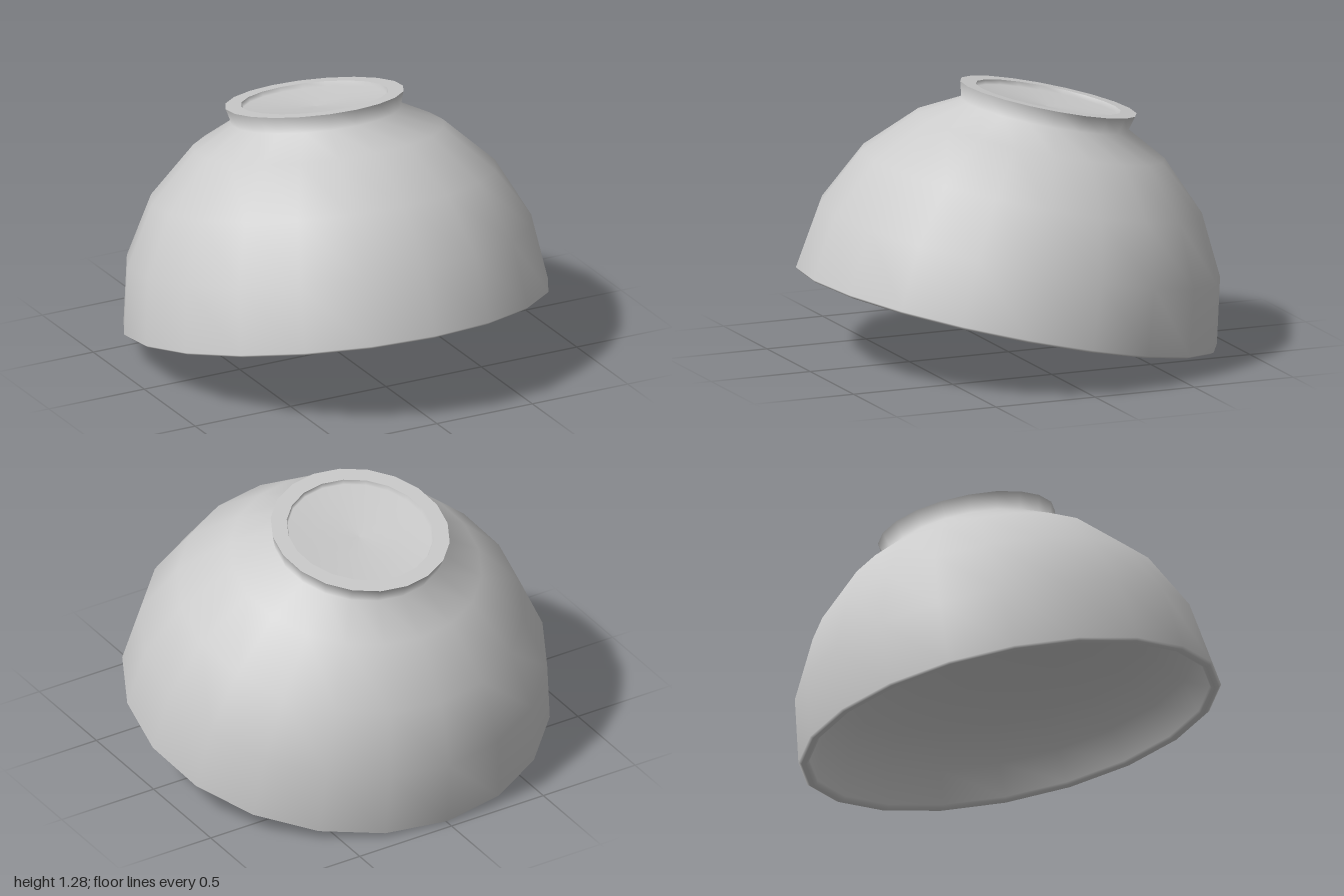
import * as THREE from 'three';

const SIDES = 20;

export function createModel() {
  const model = new THREE.Group();
  const bowl = new THREE.Group();
  bowl.name = 'bowl';
  const material = new THREE.MeshStandardMaterial({ color: 0xcccccc });

  const lathe = (name, profile) => {
    const points = profile.map(([r, h]) => new THREE.Vector2(r, h));
    const mesh = new THREE.Mesh(new THREE.LatheGeometry(points, SIDES), material);
    mesh.name = name;
    bowl.add(mesh);
  };

  // Points on a quarter ellipse, in 18 degree steps
  const arc = (radius, height, steps) => steps.map((i) => {
    const a = (i * Math.PI) / 10;
    return [radius * Math.cos(a), height * Math.sin(a)];
  });

  // Thick shell: shallow inside, rounded rim, outside and flared foot wall
  lathe('shell', [
    [0, 0.5], ...arc(0.945, 0.5, [4, 3, 2, 1]),
    [0.945, 0.004], [0.952, -0.008], [0.967, -0.015], [0.985, -0.01], [0.998, 0],
    ...arc(1, 1, [1, 2, 3]), [0.396, 0.912], [0.418, 0.992],
  ]);

  // Flat ring the foot stands on
  lathe('footRing', [[0.418, 0.992], [0.343, 0.992]]);

  // Shallow dished recess inside the foot
  lathe('footRecess', [[0.343, 0.992], [0.336, 0.97], [0, 0.95]]);

  // The upturned bowl leans backwards
  bowl.rotation.x = -0.215;
  bowl.position.set(0, 0.22, 0.01);
  model.add(bowl);
  return model;
}
